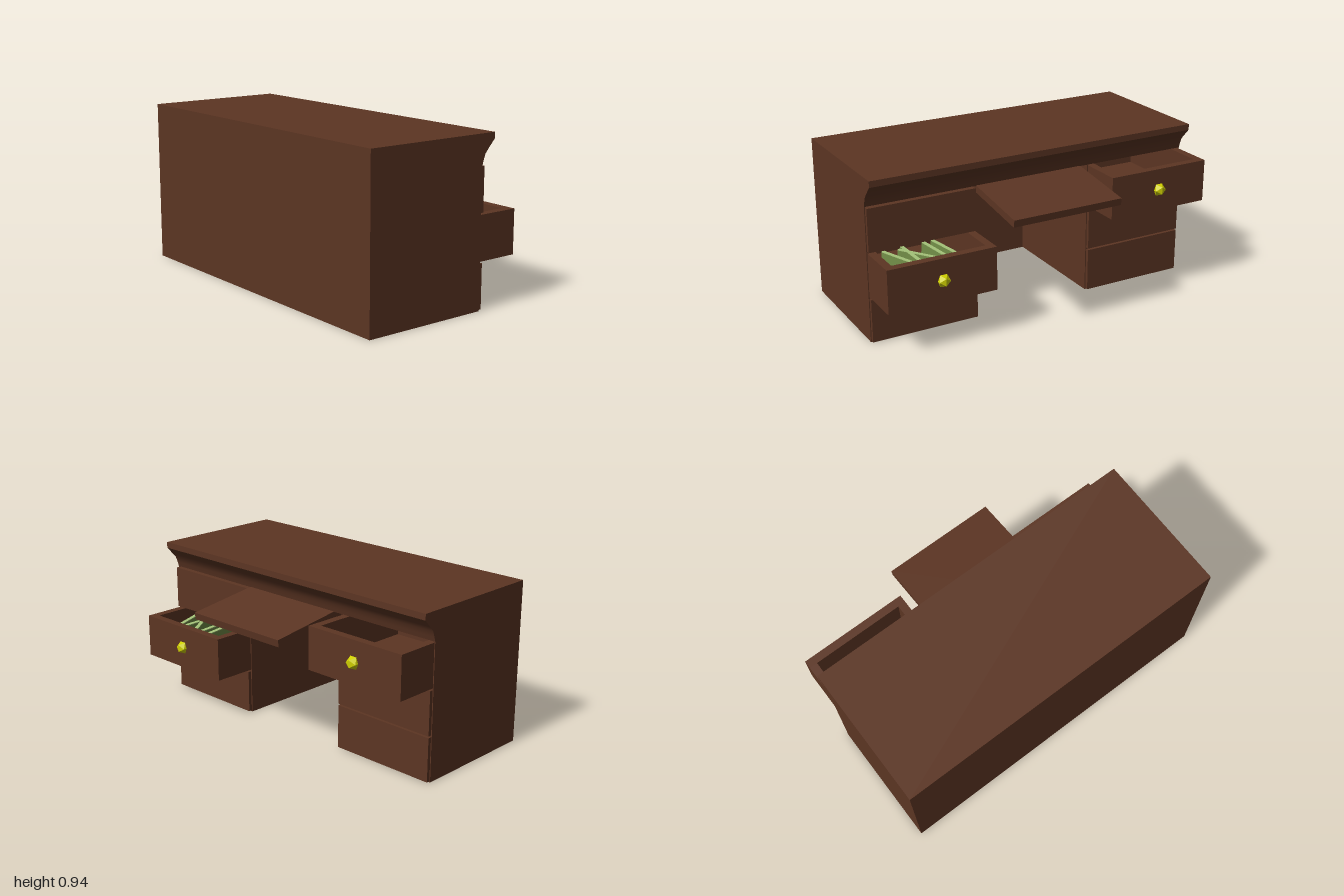
import * as THREE from 'three';
import { toCreasedNormals } from 'three/addons/utils/BufferGeometryUtils.js';

const wood = new THREE.MeshStandardMaterial({ color: 0x5c3523 });
const brass = new THREE.MeshStandardMaterial({ color: 0xd0d000, flatShading: true });
const paper = new THREE.MeshStandardMaterial({ color: 0x6f8a45 });
const paperEdge = new THREE.MeshStandardMaterial({ color: 0xa9c87c });

// Box given by its limits on each axis
function box(parent, name, [x0, x1], [y0, y1], [z0, z1], mat = wood) {
  const mesh = new THREE.Mesh(new THREE.BoxGeometry(x1 - x0, y1 - y0, z1 - z0), mat);
  mesh.position.set((x0 + x1) / 2, (y0 + y1) / 2, (z0 + z1) / 2);
  mesh.name = name;
  parent.add(mesh);
  return mesh;
}

const BACK = -0.58, FACE = 0.16;
const rows = [[0.005, 0.255], [0.265, 0.515], [0.525, 0.77]];

// Pulled-out drawer: a tray with thick walls and a faceted knob
function openDrawer([y0, y1], [z0, z1]) {
  const g = new THREE.Group();
  g.name = 'openDrawer';
  const x0 = -0.3, x1 = 0.411, t = 0.046;
  box(g, 'drawerFront', [x1 - t, x1], [y0, y1], [z0, z1]);
  box(g, 'drawerBack', [x0, x0 + t], [y0, y1], [z0, z1]);
  box(g, 'drawerSide', [x0 + t, x1 - t], [y0, y1], [z0, z0 + t]);
  box(g, 'drawerSide', [x0 + t, x1 - t], [y0, y1], [z1 - t, z1]);
  box(g, 'drawerFloor', [x0 + t, x1 - t], [y0, y0 + t], [z0 + t, z1 - t]);
  const knob = new THREE.Mesh(new THREE.IcosahedronGeometry(0.039, 0), brass);
  knob.name = 'knob';
  knob.rotation.x = Math.PI / 2;
  knob.position.set(x1, (y0 + y1) / 2, (z0 + z1) / 2);
  g.add(knob);
  return g;
}

// Bundle of paper standing on its long edge, leaning back
function paperBundle(x, z, turn) {
  const g = new THREE.Group();
  g.name = 'paperBundle';
  box(g, 'sheets', [-0.26, 0], [0, 0.17], [-0.01, 0.01], paper);
  box(g, 'topEdge', [-0.26, 0], [0.17, 0.175], [-0.01, 0.01], paperEdge);
  g.rotation.set(-0.1, turn, 0, 'YXZ');
  g.position.set(x, 0.312, z);
  return g;
}

export function createModel() {
  const desk = new THREE.Group();
  desk.name = 'desk';

  // Desktop block with a coved overhang along the front
  const profile = new THREE.Shape([
    [BACK, 0.775], [FACE, 0.775], [0.168, 0.803], [0.18, 0.835],
    [0.205, 0.864], [0.243, 0.905], [0.243, 0.94], [BACK, 0.94],
  ].map(([x, y]) => new THREE.Vector2(x, y)));
  const topGeo = new THREE.ExtrudeGeometry(profile, { depth: 2, bevelEnabled: false });
  topGeo.translate(0, 0, -1);
  const top = new THREE.Mesh(toCreasedNormals(topGeo, 0.45), wood);
  top.name = 'desktop';
  desk.add(top);

  // Full-width back panel
  box(desk, 'backPanel', [BACK, BACK + 0.006], [0, 0.775], [-1, 1]);

  // Two hollow pedestals with three drawers each
  for (const side of [-1, 1]) {
    const ped = new THREE.Group();
    ped.name = side > 0 ? 'frontPedestal' : 'backPedestal';
    const span = (a, b) => (side > 0 ? [a, b] : [-b, -a]);
    const depth = [BACK + 0.006, FACE];
    box(ped, 'innerPanel', depth, [0, 0.775], span(0.357, 0.363));
    box(ped, 'outerPanel', depth, [0, 0.775], span(0.995, 1));
    box(ped, 'bottomPanel', depth, [0, 0.005], span(0.363, 0.995));
    for (const y of [0.255, 0.515]) {
      box(ped, 'divider', depth, [y, y + 0.01], span(0.363, 0.995));
    }
    const openRow = side > 0 ? 1 : 2;
    rows.forEach((row, i) => {
      if (i === openRow) ped.add(openDrawer(row, span(0.363, 0.995)));
      else box(ped, 'closedDrawer', [-0.5, 0.18], row, span(0.363, 0.995));
    });
    desk.add(ped);
  }

  // Sloping pull-out shelf over the kneehole
  const shelf = new THREE.Group();
  shelf.name = 'pullOutShelf';
  box(shelf, 'shelfBoard', [-0.75, 0], [-0.0205, 0.0205], [-0.308, 0.353]);
  shelf.position.set(0.577, 0.698, 0);
  shelf.rotation.z = -0.14;
  desk.add(shelf);

  // Paper bundles in the open drawer
  [[0.35, 0.565, 0.16], [0.355, 0.63, 0.12], [0.345, 0.67, 0.6], [0.355, 0.78, 0.03], [0.355, 0.81, 0.36]]
    .forEach(([x, z, turn]) => desk.add(paperBundle(x, z, turn)));

  return desk;
}
